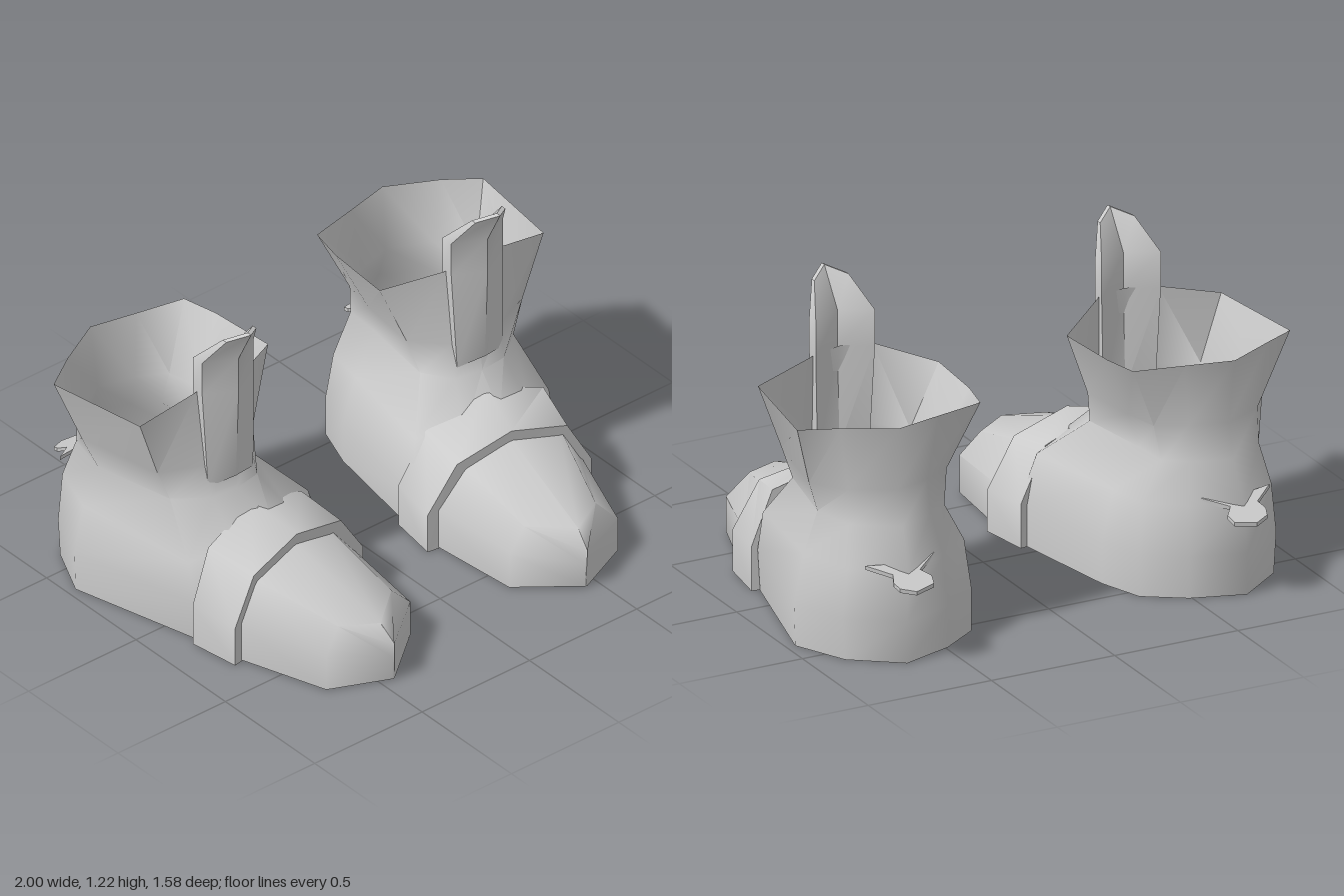
import * as THREE from 'three';
import { toCreasedNormals } from 'three/addons/utils/BufferGeometryUtils.js';

const material = new THREE.MeshStandardMaterial({ color: 0xcccccc, side: THREE.DoubleSide });

// Skin a list of cross-sections (each counter-clockwise seen from the first one).
// side = -1 mirrors the part across x.
function loft(name, sections, side, { capStart = true, capEnd = true, crease = 0.9 } = {}) {
  const n = sections[0].length;
  const rings = side > 0 ? sections
    : sections.map(s => s.map(([x, y, z]) => [-x, y, z]).reverse());
  const index = [];
  for (let i = 0; i < rings.length - 1; i++) {
    for (let j = 0; j < n; j++) {
      const a = i * n + j, b = i * n + (j + 1) % n;
      index.push(a, a + n, b, b, a + n, b + n);
    }
  }
  // fans start from the same point on both sides
  const first = side > 0 ? 0 : n - 1;
  const last = (rings.length - 1) * n;
  for (let k = 1; k < n - 1; k++) {
    const p = (first + k) % n, q = (first + k + 1) % n;
    if (capStart) index.push(first, p, q);
    if (capEnd) index.push(last + first, last + q, last + p);
  }
  const geo = new THREE.BufferGeometry();
  geo.setAttribute('position', new THREE.Float32BufferAttribute(rings.flat(2), 3));
  geo.setIndex(index);
  const mesh = new THREE.Mesh(toCreasedNormals(geo, crease), material);
  mesh.name = name;
  return mesh;
}

// Ring of [x, z, y?] points; y falls back to the ring height
const ring = (y, pts) => pts.map(([x, z, py]) => [x, py ?? y, z]);

// Shaft, ankle and heel, from the flared rim down to the sole
const shaftRings = [
  ring(0.88, [[.58, .01, .945], [.70, -.02, .94], [.94, -.05], [1.0, -.46, .87], [.87, -.54], [.68, -.64],
    [.5, -.6], [.31, -.56], [.28, -.42], [.26, -.15], [.46, -.02, .945]]),
  ring(0.63, [[.58, .03], [.69, .01], [.85, -.06], [.92, -.40], [.83, -.53], [.67, -.61],
    [.53, -.57], [.42, -.51], [.39, -.37], [.36, -.12], [.47, .0]]),
  ring(0.5, [[.57, .05], [.68, .04], [.80, -.05], [.87, -.37], [.83, -.54], [.67, -.645],
    [.53, -.59], [.44, -.53], [.43, -.38], [.39, -.08], [.46, .03]]),
  ring(0.35, [[.53, .2, .41], [.68, .18, .37], [.84, .1, .32], [.93, -.38], [.86, -.58], [.68, -.71],
    [.5, -.63], [.36, -.53], [.33, -.37], [.25, .06], [.4, .16, .37]]),
  ring(0.16, [[.51, .3], [.68, .3], [.84, .14], [.97, -.38], [.88, -.58], [.69, -.715],
    [.49, -.65], [.34, -.55], [.28, -.38], [.2, .1], [.3, .25]]),
  ring(0, [[.51, .3], [.68, .3], [.83, .14], [.965, -.38], [.87, -.58], [.69, -.715],
    [.49, -.65], [.34, -.55], [.28, -.38], [.2, .1], [.3, .25]]),
];

// Strap arching over the instep
const strapSections = [
  [[.18, 0, .05], [.18, .17, .05], [.29, .37, .07], [.55, .46, .10], [.78, .38, .14], [.86, .17, .15], [.86, 0, .15]],
  [[.15, 0, .25], [.15, .16, .25], [.27, .34, .27], [.5, .40, .30], [.73, .34, .335], [.83, .16, .35], [.83, 0, .35]],
];

// Toe cap tapering to a blunt point
const toeSections = [
  [[.19, .005, .2], [.19, .17, .2], [.31, .32, .22], [.51, .375, .25], [.73, .32, .28], [.81, .17, .3], [.81, .005, .3]],
  [[.23, .005, .61], [.23, .15, .61], [.31, .23, .6], [.46, .22, .72], [.60, .23, .65], [.68, .14, .68], [.68, .005, .68]],
  [[.445, .005, .78], [.445, .1, .78], [.447, .155, .78], [.45, .16, .785], [.453, .155, .78], [.455, .1, .78],
    [.455, .005, .78]],
];

// Tongue: a V-shaped strip; [edge y, centre y, half width, centre z, edge z, thickness]
const tongueSections = [
  [1.19, 1.22, .07, .14, .085, .02],
  [1.08, 1.08, .12, .07, .01, .05],
  [.94, .94, .12, .07, .01, .05],
  [.54, .56, .105, .055, .025, .05],
].map(([ye, yc, w, zc, ze, t]) => [
  [.58, yc, zc], [.58 + w, ye, ze], [.58 + w, ye, ze - t],
  [.58, yc, zc - t], [.58 - w, ye, ze - t], [.58 - w, ye, ze],
]);

// Pull tab: a thin winged leaf sloping down behind the heel
const tabOutline = [[.69, -.66], [.82, -.64], [.74, -.70], [.755, -.735], [.745, -.765],
  [.69, -.79], [.61, -.77], [.60, -.735], [.63, -.70], [.54, -.64]];
const tabSections = [.015, 0].map(h =>
  tabOutline.map(([x, z]) => [x, .36 + (z + .64) * .47 + h, z]));

function boot(side) {
  const group = new THREE.Group();
  group.name = side > 0 ? 'leftBoot' : 'rightBoot';
  group.add(
    loft('shaft', shaftRings, side, { capStart: false, crease: 1.1 }),
    loft('strap', strapSections, side),
    loft('toeCap', toeSections, side, { crease: 1.0 }),
    loft('tongue', tongueSections, side, { crease: 0.7 }),
    loft('heelTab', tabSections, side, { crease: 0.5 }),
  );
  return group;
}

export function createModel() {
  const model = new THREE.Group();
  model.name = 'bootPair';
  model.add(boot(1), boot(-1));
  return model;
}
